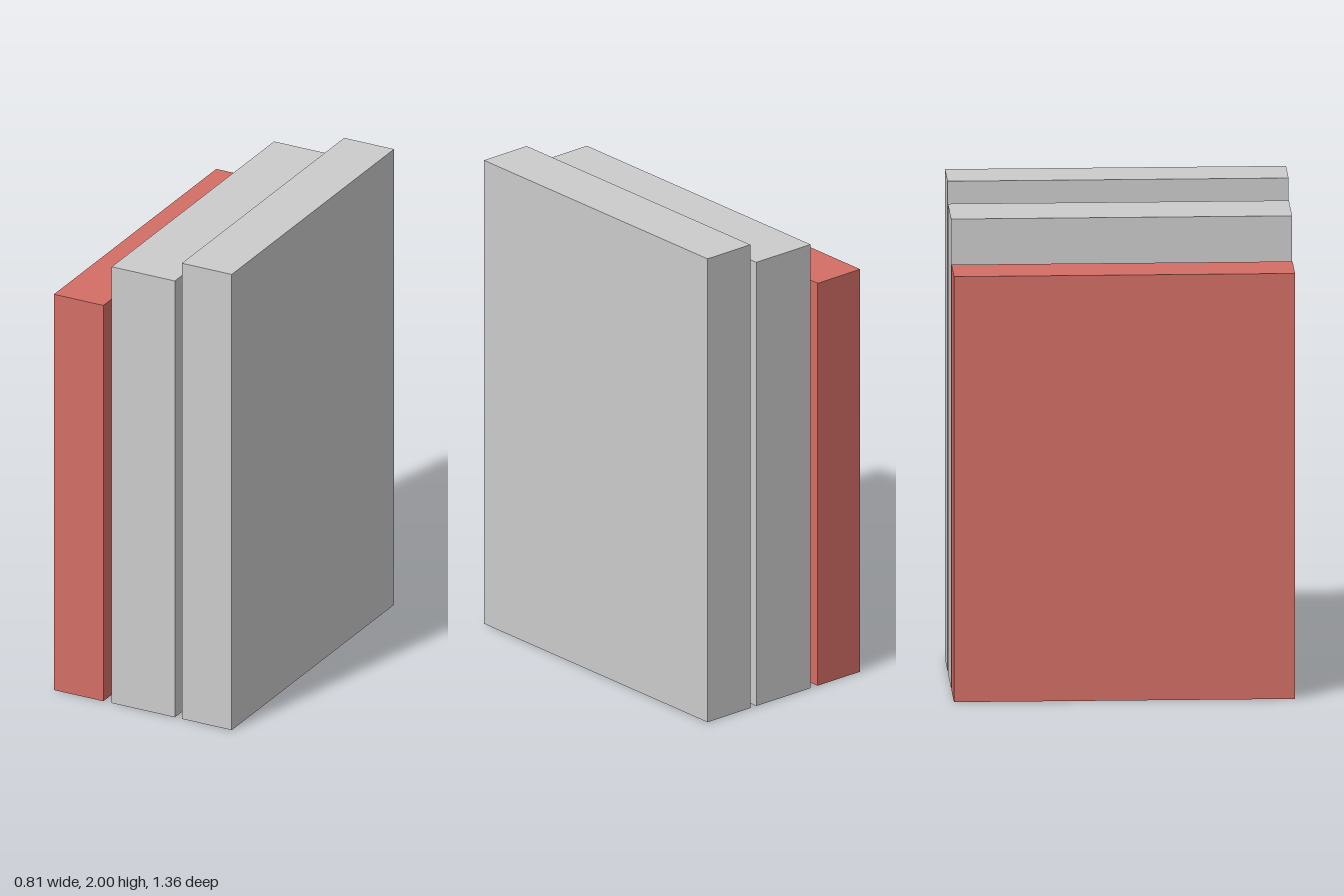
import * as THREE from 'three';

const DEPTH = 1.362;

// Upright books standing side by side: left edge, right edge, height
const BOOKS = [
  { name: 'rightBook', x0: -0.403, x1: -0.179, height: 1.737, color: 0xd36e66 },
  { name: 'middleBook', x0: -0.141, x1: 0.145, height: 1.915, color: 0xcccccc },
  { name: 'leftBook', x0: 0.177, x1: 0.403, height: 2, color: 0xcccccc },
];

export function createModel() {
  const model = new THREE.Group();
  model.name = 'bookRow';
  for (const { name, x0, x1, height, color } of BOOKS) {
    const book = new THREE.Mesh(
      new THREE.BoxGeometry(x1 - x0, height, DEPTH),
      new THREE.MeshStandardMaterial({ color })
    );
    book.name = name;
    book.position.set((x0 + x1) / 2, height / 2, 0);
    model.add(book);
  }
  return model;
}
